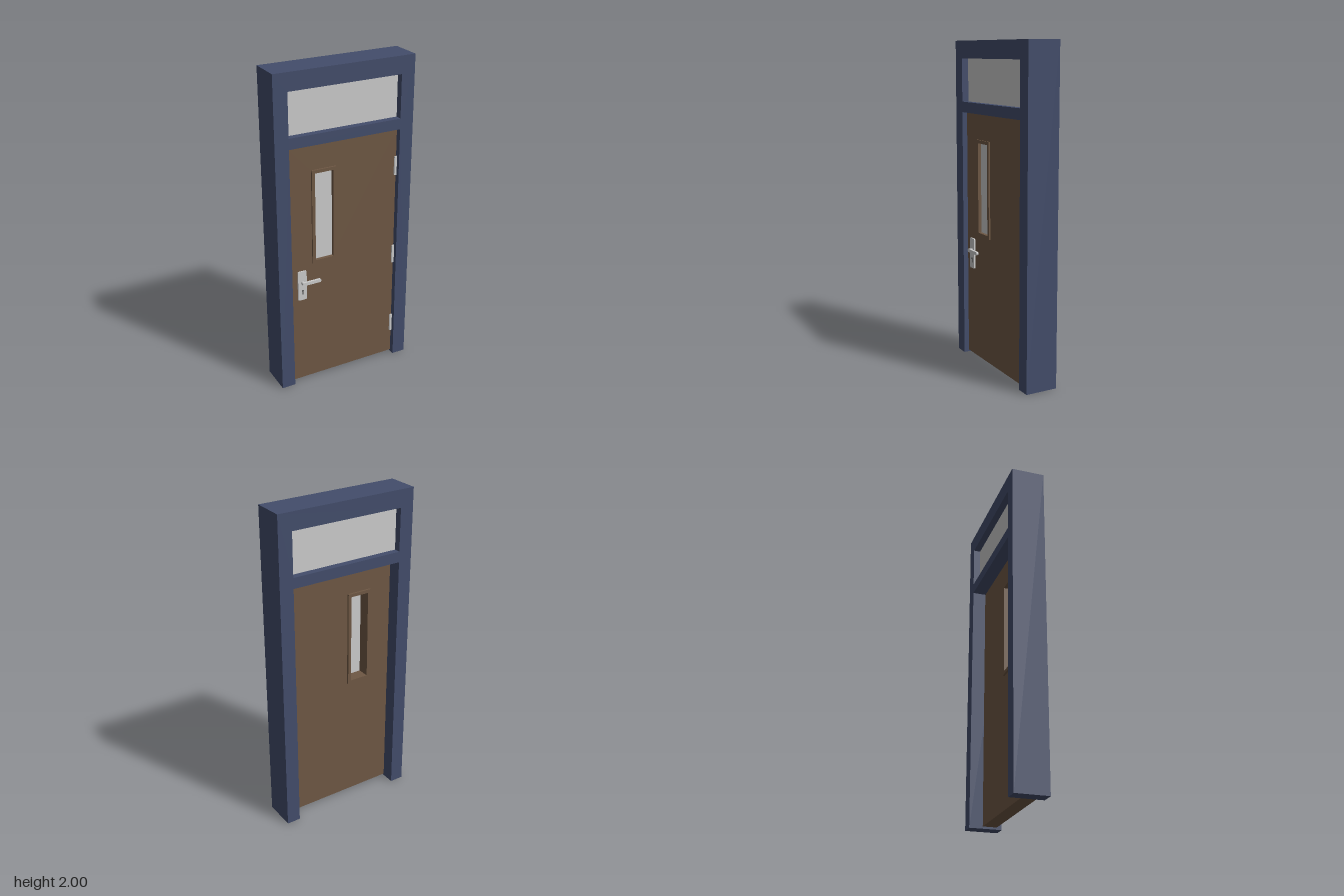
import * as THREE from 'three';

const paint = (color) => new THREE.MeshStandardMaterial({ color });

// rectangle outline given by its edges, optionally with rounded corners
function rect(Kind, x0, x1, y0, y1, r = 0) {
  const p = new Kind();
  if (!r) {
    p.moveTo(x0, y0).lineTo(x1, y0).lineTo(x1, y1).lineTo(x0, y1).closePath();
    return p;
  }
  p.absarc(x1 - r, y0 + r, r, -Math.PI / 2, 0);
  p.absarc(x1 - r, y1 - r, r, 0, Math.PI / 2);
  p.absarc(x0 + r, y1 - r, r, Math.PI / 2, Math.PI);
  p.absarc(x0 + r, y0 + r, r, Math.PI, Math.PI * 1.5);
  p.closePath();
  return p;
}

export function createModel() {
  const model = new THREE.Group();
  model.name = 'door';
  const blue = paint(0x434d6b), brown = paint(0x6f5844), grey = paint(0xcccccc), dark = paint(0x444444);

  const add = (name, geometry, material, parent = model) => {
    const mesh = new THREE.Mesh(geometry, material);
    mesh.name = name;
    parent.add(mesh);
    return mesh;
  };
  // outline swept from z0 to z1
  const slab = (name, shape, z0, z1, material, parent) => {
    const g = new THREE.ExtrudeGeometry(shape, { depth: z1 - z0, bevelEnabled: false, curveSegments: 5 });
    g.translate(0, 0, z0);
    return add(name, g, material, parent);
  };

  // frame: two jambs, head and transom bar, open at the floor
  const frame = new THREE.Shape();
  [[-0.443, 0], [-0.357, 0], [-0.357, 1.565], [0.357, 1.565], [0.357, 0], [0.443, 0], [0.443, 2], [-0.443, 2]]
    .forEach(([x, y], i) => (i ? frame.lineTo(x, y) : frame.moveTo(x, y)));
  frame.closePath();
  frame.holes.push(rect(THREE.Path, -0.357, 0.357, 1.63, 1.893));
  slab('frame', frame, -0.102, 0.098, blue);

  // glazing above the door
  slab('transomGlass', rect(THREE.Shape, -0.357, 0.357, 1.63, 1.893), -0.06, 0.056, grey);

  // door leaf with its vision panel opening
  const doorFront = 0.067, doorBack = -0.02;
  const opening = [-0.19, -0.072, 0.83, 1.386];
  const leaf = rect(THREE.Shape, -0.355, 0.355, 0.013, 1.563);
  leaf.holes.push(rect(THREE.Path, ...opening));
  slab('doorLeaf', leaf, doorBack, doorFront, brown);

  // trim around the opening on both faces
  const trim = rect(THREE.Shape, -0.21, -0.052, 0.81, 1.406);
  trim.holes.push(rect(THREE.Path, ...opening));
  slab('windowTrimFront', trim, doorFront, doorFront + 0.01, brown);
  slab('windowTrimBack', trim, doorBack - 0.012, doorBack, brown);
  slab('windowGlass', rect(THREE.Shape, ...opening), 0.044, 0.056, grey);

  // hinges along the left edge
  for (const y of [0.23, 0.736, 1.33]) {
    slab('hinge', rect(THREE.Shape, 0.341, 0.36, y - 0.06, y + 0.06, 0.004), doorFront - 0.005, doorFront + 0.008, grey);
  }

  // handle: back plate, spindle, lever and keyhole
  const handle = new THREE.Group();
  handle.name = 'handle';
  model.add(handle);
  const plateFront = doorFront + 0.009;
  slab('handlePlate', rect(THREE.Shape, -0.31, -0.253, 0.582, 0.776, 0.008), doorFront, plateFront, grey, handle);
  const spindle = add('spindle', new THREE.CylinderGeometry(0.01, 0.01, 0.022, 16), grey, handle);
  spindle.rotation.x = Math.PI / 2;
  spindle.position.set(-0.281, 0.7, plateFront + 0.009);
  slab('lever', rect(THREE.Shape, -0.291, -0.168, 0.69, 0.71, 0.009), 0.088, 0.102, grey, handle);
  const lock = add('keyholeTop', new THREE.CylinderGeometry(0.006, 0.006, 0.002, 16), dark, handle);
  lock.rotation.x = Math.PI / 2;
  lock.position.set(-0.281, 0.645, plateFront);
  slab('keyholeSlot', rect(THREE.Shape, -0.284, -0.278, 0.62, 0.643), plateFront, plateFront + 0.001, dark, handle);

  return model;
}
